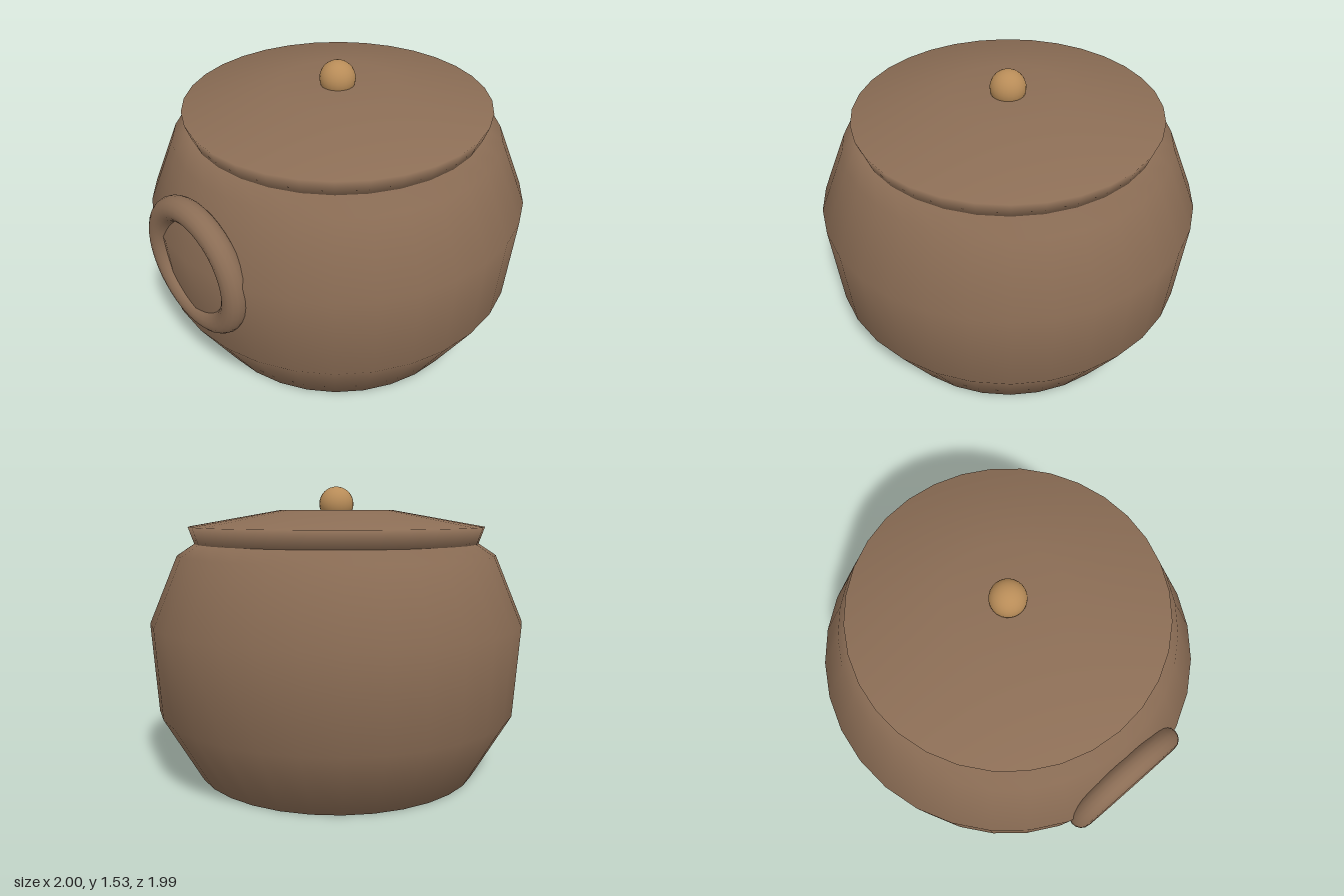
import * as THREE from 'three';

const clay = new THREE.MeshStandardMaterial({ color: 0x8b6d55 });
const tan = new THREE.MeshStandardMaterial({ color: 0xb88c58 });

// Revolve [radius, height] pairs, listed from bottom to top
function lathe(name, profile) {
  const points = profile.map(([r, y]) => new THREE.Vector2(r, y));
  const mesh = new THREE.Mesh(new THREE.LatheGeometry(points, 32), clay);
  mesh.name = name;
  return mesh;
}

export function createModel() {
  const pot = new THREE.Group();
  pot.name = 'lidded pot';

  // Round-shouldered body with closed base
  pot.add(lathe('body', [
    [0, 0], [0.765, 0], [0.965, 0.35], [0.997, 0.82], [0.85, 1.17], [0.76, 1.23], [0, 1.235],
  ]));

  // Lid: flared rim and shallow sloping top
  pot.add(lathe('lid', [
    [0, 1.22], [0.755, 1.22], [0.79, 1.318], [0.3, 1.405], [0, 1.405],
  ]));

  // Ball knob
  const knob = new THREE.Mesh(new THREE.SphereGeometry(0.092, 24, 16), tan);
  knob.name = 'knob';
  knob.position.y = 1.437;
  pot.add(knob);

  // Ring handle set into the side
  const handle = new THREE.Mesh(new THREE.TorusGeometry(0.297, 0.063, 16, 40), clay);
  handle.name = 'handle';
  handle.rotation.y = Math.PI / 2;
  handle.position.set(-0.937, 0.76, 0);
  pot.add(handle);

  return pot;
}
